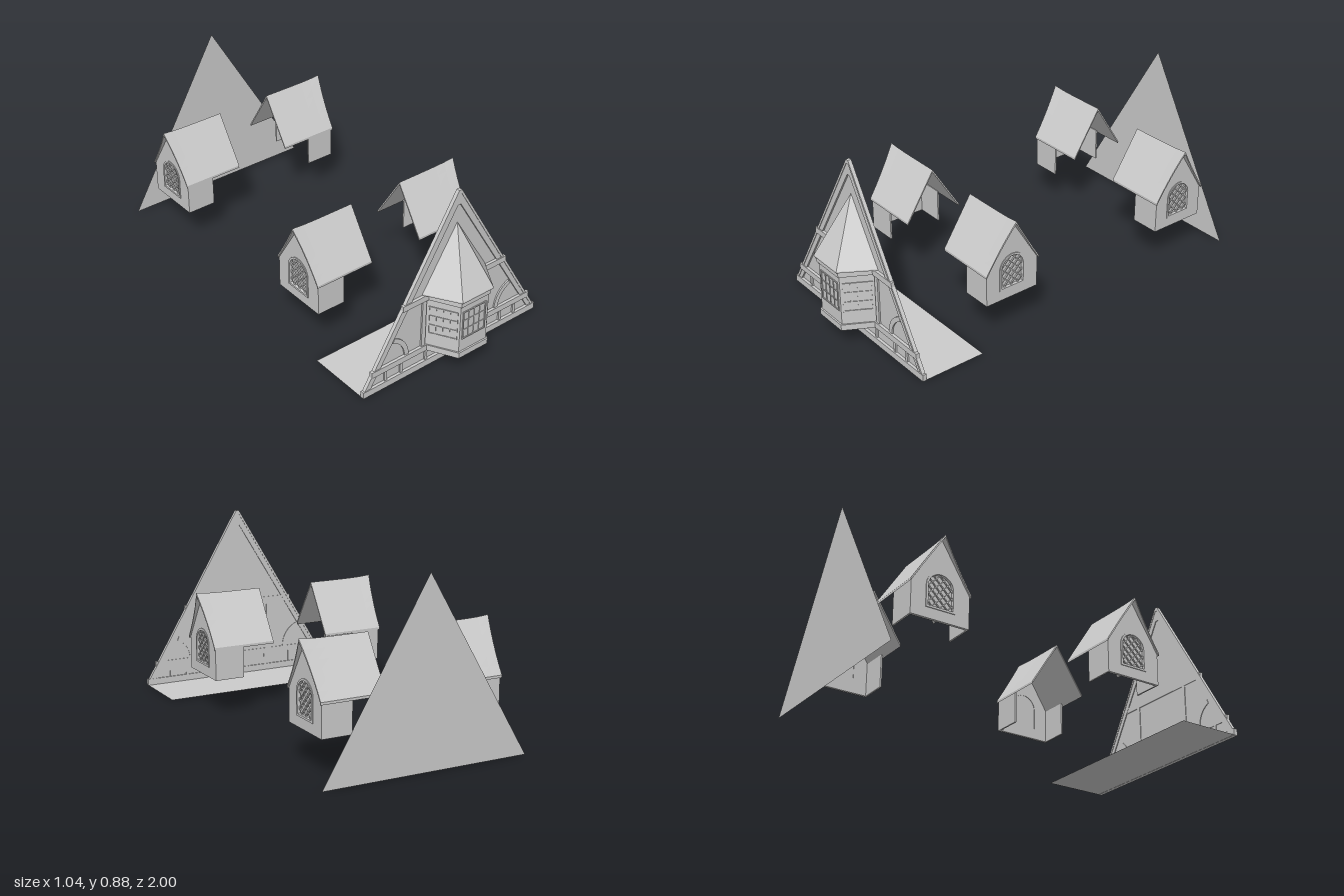
import * as THREE from 'three';

const mat = new THREE.MeshStandardMaterial({ color: 0xcccccc, flatShading: true, side: THREE.DoubleSide });

function add(parent, name, geo) {
  const m = new THREE.Mesh(geo, mat);
  m.name = name;
  parent.add(m);
  return m;
}

// Box given by its limits on each axis
function box(parent, name, x0, x1, y0, y1, z0, z1) {
  const g = new THREE.BoxGeometry(x1 - x0, y1 - y0, z1 - z0);
  g.translate((x0 + x1) / 2, (y0 + y1) / 2, (z0 + z1) / 2);
  return add(parent, name, g);
}

const poly = (pts) => new THREE.Shape(pts.map(([x, y]) => new THREE.Vector2(x, y)));

// Outline extruded from z0 to z1
function slab(shape, z0, z1) {
  const g = new THREE.ExtrudeGeometry(shape, { depth: z1 - z0, bevelEnabled: false, curveSegments: 12 });
  return g.translate(0, 0, z0);
}

// Plan outline of (x, z) points raised from y0 to y1
function prism(pts, y0, y1) {
  return slab(poly(pts.map(([x, z]) => [x, -z])), y0, y1).rotateX(-Math.PI / 2);
}

// Inverted V with a small flat tip
function chevron(xo, yo, xi, yi, y0) {
  return poly([[-xo, y0], [-0.008, yo], [0.008, yo], [xo, y0], [xi, y0], [0.008, yi], [-0.008, yi], [-xi, y0]]);
}

// Round-headed opening
function arch(r, y0, ys) {
  const s = new THREE.Shape();
  s.moveTo(-r, y0);
  s.lineTo(r, y0);
  s.lineTo(r, ys);
  s.absarc(0, ys, r, 0, Math.PI, false);
  s.closePath();
  return s;
}

function createDormer() {
  const g = new THREE.Group();
  g.name = 'dormer';

  // Gable wall with arched opening, facing +x
  const wall = poly([[-0.145, 0.18], [0.145, 0.18], [0.145, 0.335], [0, 0.568], [-0.145, 0.335]]);
  wall.holes.push(arch(0.067, 0.235, 0.335));
  add(g, 'gableWall', slab(wall, 0.435, 0.448).rotateY(Math.PI / 2));
  const frame = arch(0.072, 0.23, 0.335);
  frame.holes.push(arch(0.062, 0.24, 0.335));
  add(g, 'windowFrame', slab(frame, 0.437, 0.452).rotateY(Math.PI / 2));
  add(g, 'windowPane', new THREE.ShapeGeometry(arch(0.067, 0.235, 0.335)).rotateY(Math.PI / 2).translate(0.437, 0, 0));

  // Diagonal lattice clipped to the opening
  const inside = (z, y) => Math.abs(z) < 0.064 && y > 0.238 && (y < 0.335 || Math.hypot(z, y - 0.335) < 0.064);
  for (const dir of [1, -1]) {
    for (let k = -3; k <= 3; k++) {
      const hits = [];
      for (let z = -0.066; z <= 0.066; z += 0.001) {
        const y = 0.32 + k * 0.038 + dir * z;
        if (inside(z, y)) hits.push([z, y]);
      }
      if (hits.length < 5) continue;
      const [z0, y0] = hits[0], [z1, y1] = hits[hits.length - 1];
      const bar = add(g, 'latticeBar', new THREE.BoxGeometry(0.006, 0.005, Math.hypot(z1 - z0, y1 - y0)));
      bar.position.set(0.441, (y0 + y1) / 2, (z0 + z1) / 2);
      bar.rotation.x = -dir * Math.PI / 4;
    }
  }

  // Cheeks
  for (const s of [1, -1]) {
    const c = s * 0.141;
    box(g, 'sideWall', 0.3, 0.446, 0.18, 0.345, c - 0.004, c + 0.004);
  }

  // Pitched roof whose front edge sweeps forward towards the ridge
  const roof = new THREE.BoxGeometry(1, 1, 1, 6, 1, 12);
  const p = roof.attributes.position;
  for (let i = 0; i < p.count; i++) {
    const u = p.getX(i) + 0.5, w = p.getZ(i) * 2, s = 1 - Math.abs(w);
    const edge = 0.455 + 0.023 * s * s;
    const under = p.getY(i) < 0 ? 0.012 : 0;
    p.setXYZ(i, 0.143 + u * (edge - 0.143), 0.342 + 0.234 * s + 0.007 * s * u ** 6 - under, w * 0.15);
  }
  roof.computeVertexNormals();
  add(g, 'dormerRoof', roof);
  return g;
}

// Glazed window centred on its own origin, facing +z
function createBayWindow() {
  const g = new THREE.Group();
  g.name = 'bayWindow';
  const W = 0.068, H = 0.075;
  const ring = poly([[-W, -H], [W, -H], [W, H], [-W, H]]);
  const i = 0.006;
  ring.holes.push(poly([[-W + i, -H + i], [W - i, -H + i], [W - i, H - i], [-W + i, H - i]]));
  add(g, 'windowFrame', slab(ring, -0.004, 0.004));
  for (let c = -1; c <= 1; c++) box(g, 'mullion', c * 0.032 - 0.002, c * 0.032 + 0.002, -H, H, -0.004, 0.003);
  for (const y of [-0.025, 0.025]) box(g, 'glazingBar', -W, W, y - 0.002, y + 0.002, -0.004, 0.003);
  return g;
}

function createBay() {
  const g = new THREE.Group();
  g.name = 'bay';
  const plan = (xb, xf, zf) => [[-xb, 0.845], [-xf, zf], [xf, zf], [xb, 0.845]];
  add(g, 'bayWalls', prism(plan(0.16, 0.082, 0.982), 0.09, 0.4));
  add(g, 'baySill', prism(plan(0.166, 0.086, 0.99), 0.09, 0.12));
  add(g, 'bayTopBand', prism(plan(0.166, 0.086, 0.99), 0.37, 0.4));
  add(g, 'bayEave', prism(plan(0.185, 0.091, 1), 0.4, 0.407));

  // Three windows
  const turn = Math.atan2(0.137, 0.078);
  for (const s of [-1, 0, 1]) {
    const w = createBayWindow();
    w.position.set(s * 0.121, 0.26, s ? 0.9135 : 0.982);
    w.rotation.y = s * turn;
    g.add(w);
  }

  // Faceted spire roof against the gable
  const eave = plan(0.185, 0.091, 1), v = [];
  for (let i = 0; i < 3; i++) {
    const [a, b] = [eave[i], eave[i + 1]];
    v.push(a[0], 0.407, a[1], b[0], 0.407, b[1], 0, 0.707, 0.845);
  }
  const roof = new THREE.BufferGeometry();
  roof.setAttribute('position', new THREE.Float32BufferAttribute(v, 3));
  roof.computeVertexNormals();
  add(g, 'bayRoof', roof);
  return g;
}

function createFacade() {
  const g = new THREE.Group();
  g.name = 'frontGable';
  add(g, 'gablePanel', new THREE.ShapeGeometry(poly([[-0.505, 0.005], [0.505, 0.005], [0, 0.85]])).translate(0, 0, 0.844));
  add(g, 'roofTrim', slab(chevron(0.513, 0.875, 0.5, 0.855, 0.03), 0.838, 0.856));
  add(g, 'rafters', slab(chevron(0.5, 0.855, 0.477, 0.8, 0.03), 0.84, 0.853));

  // Horizontal beams
  box(g, 'baseBeam', -0.52, 0.52, 0, 0.033, 0.838, 0.858);
  box(g, 'lowerBeam', -0.475, 0.475, 0.09, 0.12, 0.841, 0.858);
  box(g, 'upperBeam', -0.305, 0.305, 0.37, 0.4, 0.841, 0.858);

  // Posts and curved braces, mirrored
  for (const s of [1, -1]) {
    for (const x of [0.39, 0.3, 0.155, 0.045]) {
      box(g, 'shortPost', s * x - 0.007, s * x + 0.007, 0.033, 0.09, 0.841, 0.852);
    }
    box(g, 'bayPost', s * 0.175 - 0.011, s * 0.175 + 0.011, 0.12, 0.37, 0.841, 0.852);
    const brace = new THREE.Shape();
    const from = s > 0 ? Math.PI : 0, to = s > 0 ? Math.PI - 1.2 : 1.2;
    brace.absarc(s * 0.39, 0.12, 0.13, from, to, s > 0);
    brace.absarc(s * 0.39, 0.12, 0.107, to, from, s < 0);
    add(g, 'curvedBrace', slab(brace, 0.841, 0.851));
  }
  return g;
}

export function createModel() {
  const model = new THREE.Group();
  model.name = 'gabledHouseParts';
  model.add(createFacade(), createBay());

  // Floor strip and plain rear gable
  add(model, 'floor', new THREE.PlaneGeometry(1.04, 0.325).rotateX(-Math.PI / 2).translate(0, 0.001, 0.69));
  add(model, 'rearGable', new THREE.ShapeGeometry(poly([[0.51, 0], [-0.51, 0], [0, 0.865]])).translate(0, 0, -1));

  // Dormers, two on each side
  for (const z of [0.303, -0.738]) {
    for (const turn of [0, Math.PI]) {
      const d = createDormer();
      d.position.z = z;
      d.rotation.y = turn;
      model.add(d);
    }
  }
  return model;
}
